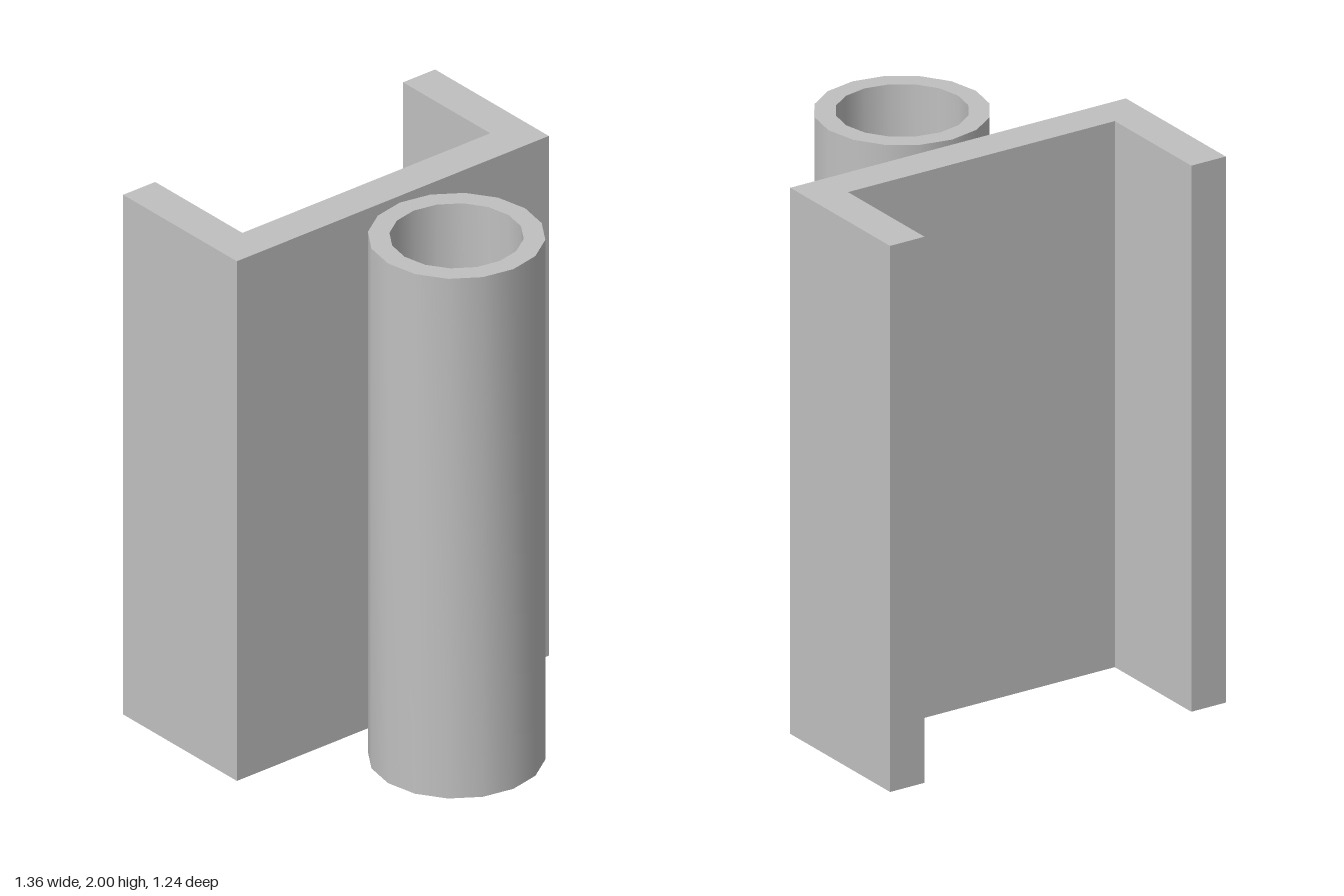
import * as THREE from 'three';
import { toCreasedNormals } from 'three/addons/utils/BufferGeometryUtils.js';

const HEIGHT = 2;

export function createModel() {
  const model = new THREE.Group();
  model.name = 'channelAndTube';
  const grey = new THREE.MeshStandardMaterial({ name: 'plain grey', color: 0xc0c0c0 });

  // U-shaped channel, open to the back; shape y becomes -z once laid upright
  const halfWidth = 0.682, wall = 0.14, near = 0.018, far = 0.618;
  const inner = halfWidth - wall;
  const section = new THREE.Shape([
    [-halfWidth, near], [halfWidth, near], [halfWidth, far], [inner, far],
    [inner, near + wall], [-inner, near + wall], [-inner, far], [-halfWidth, far],
  ].map(([x, y]) => new THREE.Vector2(x, y)));
  const channelGeometry = new THREE.ExtrudeGeometry(section, { depth: HEIGHT, bevelEnabled: false });
  channelGeometry.rotateX(-Math.PI / 2);
  const channel = new THREE.Mesh(channelGeometry, grey);
  channel.name = 'channel';
  model.add(channel);

  // Hollow 16-sided tube standing in front of the channel
  const outerRadius = 0.3, innerRadius = 0.227;
  const profile = [
    [outerRadius, 0], [outerRadius, HEIGHT], [innerRadius, HEIGHT], [innerRadius, 0], [outerRadius, 0],
  ].map(([r, y]) => new THREE.Vector2(r, y));
  const tube = new THREE.Mesh(toCreasedNormals(new THREE.LatheGeometry(profile, 16), 0.6), grey);
  tube.name = 'tube';
  tube.position.z = 0.318;
  model.add(tube);

  return model;
}
